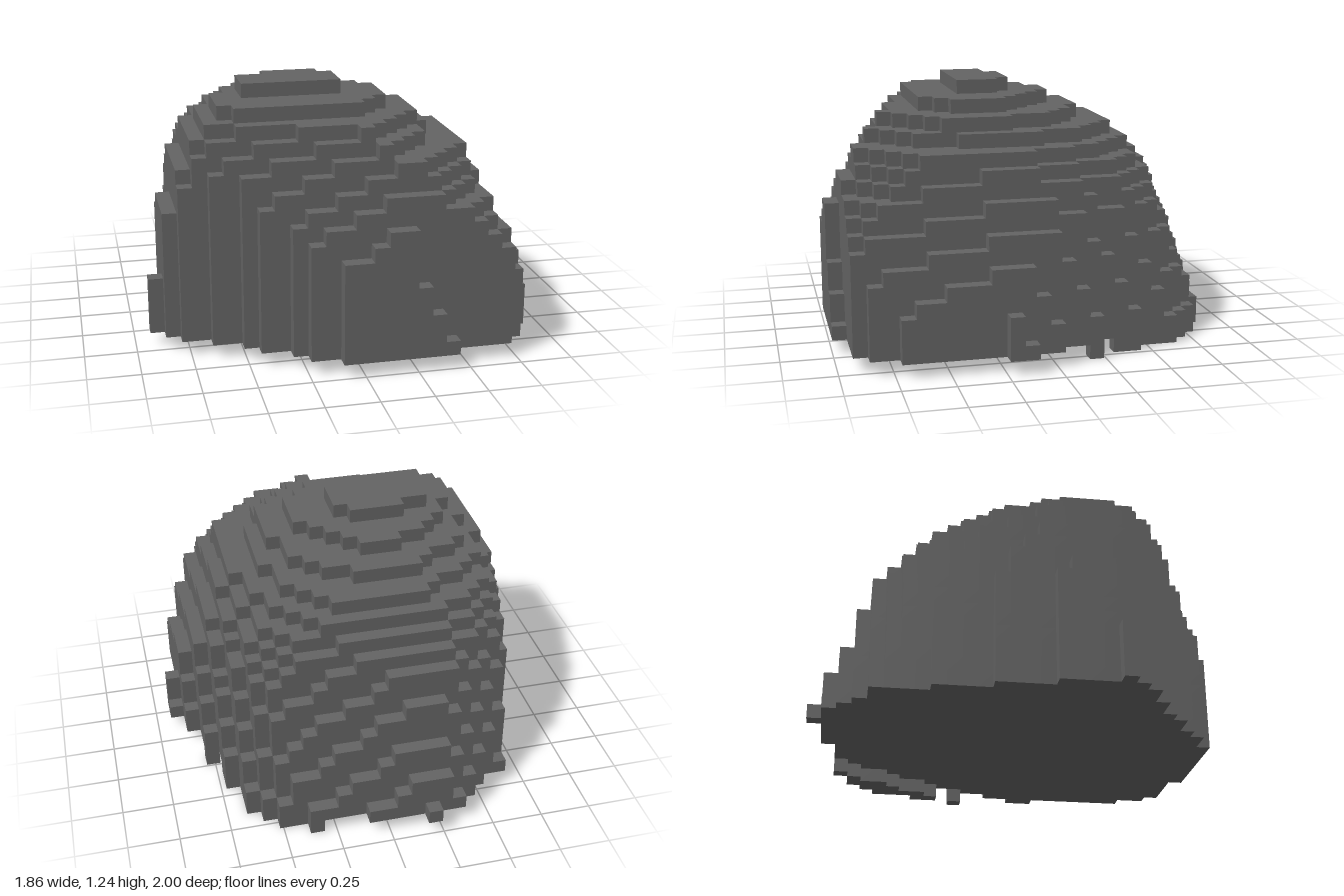
import * as THREE from 'three';

const S = 2 / 29;                 // block size
const NX = 27, NY = 18, NZ = 29;  // grid size

// Boulder shape: reach of the rock along horizontal directions [x, z],
// given at the key layers and interpolated between them.
const KEYS = [1, 4, 7, 9, 11, 13, 14, 15, 16, 17];

// Overall extents to each side
const EXTENTS = [
  { dir: [1, 0], r: [0.94, 0.89, 0.82, 0.75, 0.68, 0.6, 0.44, 0.38, 0.24, 0.03] },
  { dir: [-1, 0], r: [0.93, 0.905, 0.86, 0.84, 0.79, 0.74, 0.7, 0.65, 0.58, 0.45] },
  { dir: [0, 1], r: [1, 0.99, 0.98, 0.975, 0.935, 0.87, 0.79, 0.72, 0.52, 0.31] },
  { dir: [0, -1], r: [0.97, 0.885, 0.795, 0.74, 0.68, 0.54, 0.45, 0.31, 0.17, -0.03] },
];

// Slanted facets that cut the corners
const FACETS = [
  // front left
  { dir: [1, 1], r: [1.6, 1.6, 1.6, 1.47, 1.31, 1.12, 0.95, 0.8, 0.62, 0.3] },
  { dir: [0.14, 1], r: [1.027, 1.008, 1, 0.996, 0.97, 0.9, 0.83, 0.76, 0.58, 0.38] },
  { dir: [1, 0.14], r: [0.93, 0.9238, 0.838, 0.775, 0.7, 0.63, 0.47, 0.41, 0.28, 0.09] },
  // back left
  { dir: [1, -1], r: [1.25, 1.19, 1.11, 1.04, 0.92, 0.75, 0.57, 0.35, 0.08, -0.1] },
  { dir: [1, -0.35], r: [0.85, 0.813, 0.775, 0.745, 0.68, 0.55, 0.42, 0.32, 0.17, -0.04] },
  { dir: [0.25, -1], r: [0.92, 0.84, 0.76, 0.7, 0.645, 0.55, 0.45, 0.285, 0.13, -0.06] },
  // back right
  { dir: [-0.7, -1], r: [1.14, 1.08, 1.02, 0.97, 0.9, 0.76, 0.63, 0.48, 0.32, 0.155] },
  { dir: [-1, -0.25], r: [0.8, 0.8, 0.8, 0.79, 0.77, 0.72, 0.68, 0.6, 0.5, 0.39] },
  // front right
  { dir: [-0.65, 1], r: [1.047, 1.047, 1.047, 1.047, 1.047, 1.02, 1, 0.95, 0.8, 0.59] },
  { dir: [-0.274, 1], r: [1.15, 1.07, 0.987, 0.935, 0.86, 0.785, 0.735, 0.685, 0.62, 0.42] },
];
const REACH = [...EXTENTS, ...FACETS];

function reachAt(r, layer) {
  let k = 0;
  while (k < KEYS.length - 2 && layer > KEYS[k + 1]) k++;
  const t = (layer - KEYS[k]) / (KEYS[k + 1] - KEYS[k]);
  return THREE.MathUtils.lerp(r[k], r[k + 1], t);
}

function isSolid(i, j, k) {
  if (i < 0 || j < 0 || k < 0 || i >= NX || j >= NY || k >= NZ) return false;
  const x = (i + 0.5 - NX / 2) * S, z = (k + 0.5 - NZ / 2) * S;
  // The lowest layer is only a thin rim under the back left edge
  if (j === 0 && (x < 0.31 || x > 0.79 || x - 0.66 * z < 0.885)) return false;
  const layer = Math.max(j, 1);
  return REACH.every(({ dir, r }) => dir[0] * x + dir[1] * z <= reachAt(r, layer) + 1e-4);
}

// Outward normal n with two in-plane axes u, v (u x v = n)
const SIDES = [
  { n: [1, 0, 0], u: [0, 1, 0], v: [0, 0, 1] },
  { n: [-1, 0, 0], u: [0, 0, 1], v: [0, 1, 0] },
  { n: [0, 1, 0], u: [0, 0, 1], v: [1, 0, 0] },
  { n: [0, -1, 0], u: [1, 0, 0], v: [0, 0, 1] },
  { n: [0, 0, 1], u: [1, 0, 0], v: [0, 1, 0] },
  { n: [0, 0, -1], u: [0, 1, 0], v: [1, 0, 0] },
];
const CORNERS = [[-1, -1], [1, -1], [1, 1], [-1, 1]];

// Only the exposed block faces are built
function blockGeometry() {
  const pos = [], nor = [], idx = [];
  for (let j = 0; j < NY; j++) for (let k = 0; k < NZ; k++) for (let i = 0; i < NX; i++) {
    if (!isSolid(i, j, k)) continue;
    const c = [(i + 0.5 - NX / 2) * S, (j + 0.5) * S, (k + 0.5 - NZ / 2) * S];
    for (const { n, u, v } of SIDES) {
      if (isSolid(i + n[0], j + n[1], k + n[2])) continue;
      const b = pos.length / 3;
      for (const [p, q] of CORNERS) {
        for (let a = 0; a < 3; a++) pos.push(c[a] + (n[a] + p * u[a] + q * v[a]) * S / 2);
        nor.push(...n);
      }
      idx.push(b, b + 1, b + 2, b, b + 2, b + 3);
    }
  }
  const g = new THREE.BufferGeometry();
  g.setAttribute('position', new THREE.Float32BufferAttribute(pos, 3));
  g.setAttribute('normal', new THREE.Float32BufferAttribute(nor, 3));
  g.setIndex(idx);
  return g;
}

export function createModel() {
  const group = new THREE.Group();
  group.name = 'blockBoulder';
  const stone = new THREE.MeshStandardMaterial({ color: 0x636363 });
  stone.name = 'stone grey';
  const rock = new THREE.Mesh(blockGeometry(), stone);
  rock.name = 'boulder';
  group.add(rock);
  return group;
}
